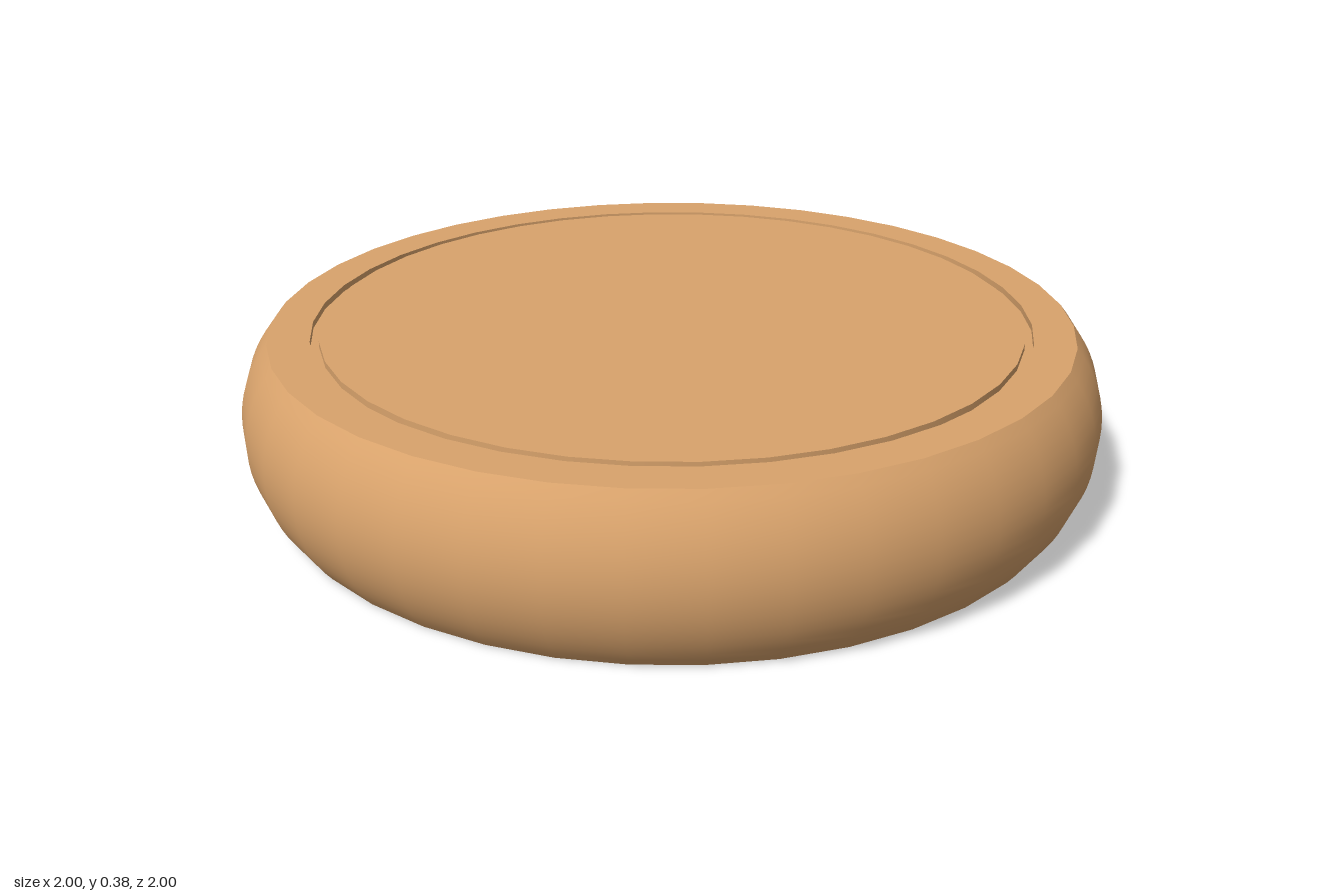
import * as THREE from 'three';

export function createModel() {
  const group = new THREE.Group();
  const wood = new THREE.MeshStandardMaterial({ color: 0xd9a36c });
  wood.name = 'warm tan';

  const SEGMENTS = 40, HEIGHT = 0.375, RIM = 0.93;
  const GROOVE_OUTER = 0.835, GROOVE_INNER = 0.815, GROOVE_Y = HEIGHT - 0.015;

  // Each turned piece is its own mesh, so edges between pieces stay sharp
  function turned(name, points) {
    const profile = points.map(([x, y]) => new THREE.Vector2(x, y));
    const mesh = new THREE.Mesh(new THREE.LatheGeometry(profile, SEGMENTS), wood);
    mesh.name = name;
    group.add(mesh);
  }

  // Bulging side: circular arc through the lower rim, the widest point and the upper rim
  const half = HEIGHT / 2, bulge = 1 - RIM;
  const radius = (half * half + bulge * bulge) / (2 * bulge);
  const sweep = Math.asin(half / radius);
  const side = [];
  for (let i = 0; i <= 16; i++) {
    const a = sweep * (i / 8 - 1);
    side.push([1 - radius + radius * Math.cos(a), half + radius * Math.sin(a)]);
  }

  turned('base', [[0, 0], [RIM, 0]]);
  turned('roundedSide', side);
  turned('topRim', [[RIM, HEIGHT], [GROOVE_OUTER, HEIGHT]]);

  // Narrow groove around the top panel
  turned('grooveOuterWall', [[GROOVE_OUTER, HEIGHT], [GROOVE_OUTER, GROOVE_Y]]);
  turned('grooveFloor', [[GROOVE_OUTER, GROOVE_Y], [GROOVE_INNER, GROOVE_Y]]);
  turned('grooveInnerWall', [[GROOVE_INNER, GROOVE_Y], [GROOVE_INNER, HEIGHT]]);
  turned('topPanel', [[GROOVE_INNER, HEIGHT], [0, HEIGHT]]);

  return group;
}
